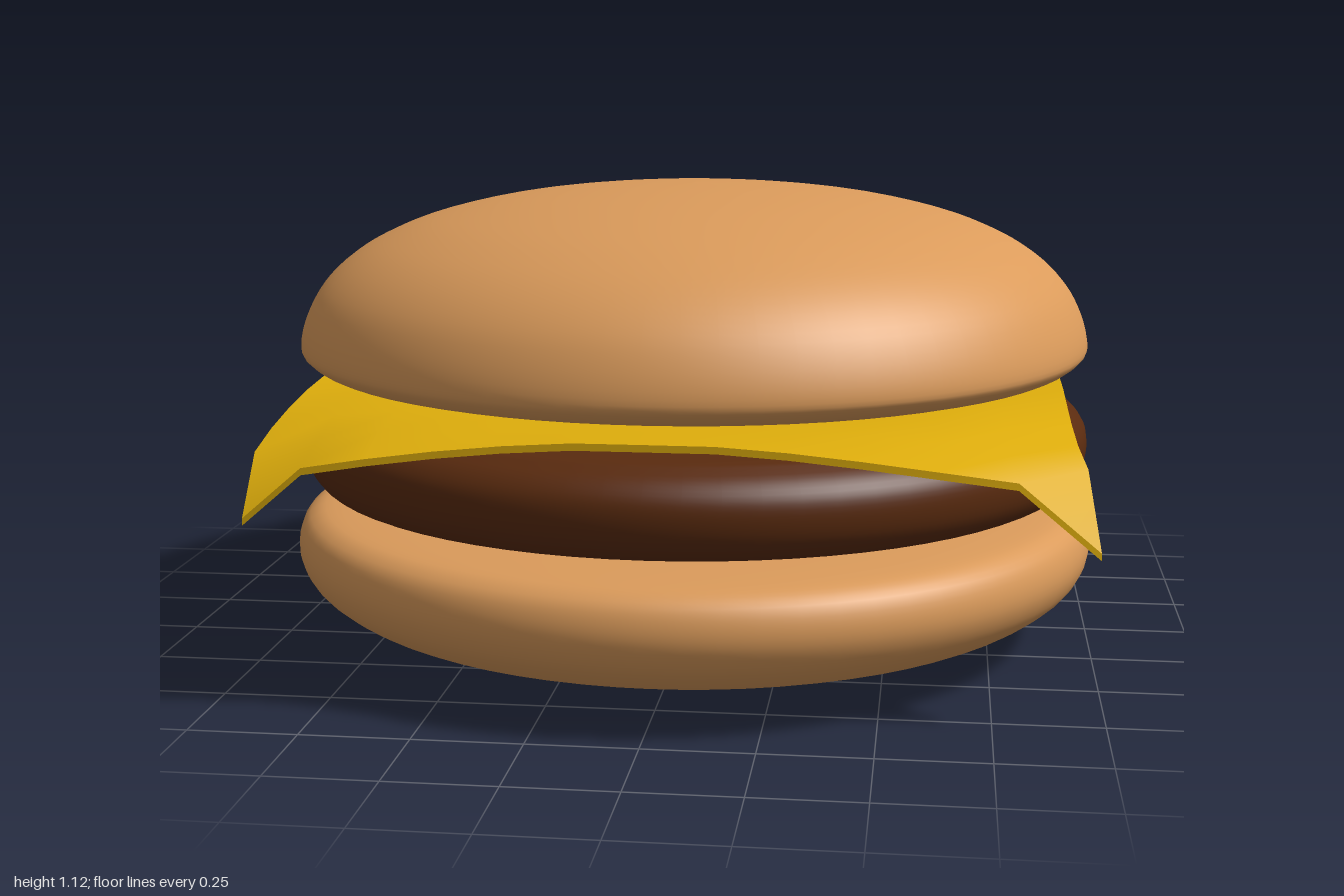
import * as THREE from 'three';

const BUN = 0xdb9b5b, PATTY = 0x5a2b0f, CHEESE = 0xdfae0c;

// Smooth round layer turned from a [radius, y] profile, listed bottom to top
function roundLayer(name, color, profile) {
  const curve = new THREE.SplineCurve(profile.map(([r, y]) => new THREE.Vector2(r, y)));
  const points = curve.getPoints(48);
  points.forEach(p => { p.x = Math.max(0, p.x); });
  const mesh = new THREE.Mesh(
    new THREE.LatheGeometry(points, 72),
    new THREE.MeshStandardMaterial({ color })
  );
  mesh.name = name;
  return mesh;
}

// Thin square slice that sags outside the patty, with four drooping corners
function cheeseSlice() {
  const half = 0.918, top = 0.65, thickness = 0.016, segments = 12;
  // Corner tips [x, y, z], keyed by the signs of x and z
  const tips = {
    '1,1': [0.97, 0.42, 0.83],
    '1,-1': [0.97, 0.45, -0.80],
    '-1,1': [-0.89, 0.46, 0.90],
    '-1,-1': [-0.89, 0.46, -0.88],
  };
  const geometry = new THREE.BoxGeometry(2, thickness, 2, segments, 1, segments);
  const pos = geometry.attributes.position;
  for (let i = 0; i < pos.count; i++) {
    const u = pos.getX(i), v = pos.getZ(i);
    const sx = u < 0 ? -1 : 1, sz = v < 0 ? -1 : 1;
    const [tx, ty, tz] = tips[`${sx},${sz}`];
    // Pull the outline towards the tip, strongest at the corner
    const w = Math.pow(Math.abs(u * v), 4);
    const x = u * half + (tx - sx * half) * w;
    const z = v * half + (tz - sz * half) * w;
    // Gentle sag past the patty rim; only the last vertex folds down sharply
    const r = Math.hypot(u, v) * half;
    const isTip = Math.abs(u) > 0.99 && Math.abs(v) > 0.99;
    const y = isTip ? ty : top - 0.27 * Math.max(0, r - 0.93);
    pos.setXYZ(i, x, y + pos.getY(i) - thickness / 2, z);
  }
  geometry.computeVertexNormals();
  const mesh = new THREE.Mesh(geometry, new THREE.MeshStandardMaterial({ color: CHEESE }));
  mesh.name = 'cheeseSlice';
  return mesh;
}

export function createModel() {
  const group = new THREE.Group();
  group.name = 'burger';

  const bottomBun = roundLayer('bottomBun', BUN, [
    [0, 0.005], [0.3, 0.012], [0.6, 0.035], [0.84, 0.085], [0.95, 0.145], [0.995, 0.21],
    [0.997, 0.275], [0.965, 0.325], [0.88, 0.345], [0.6, 0.355], [0.3, 0.36], [0, 0.36],
  ]);

  const patty = roundLayer('patty', PATTY, [
    [0, 0.37], [0.4, 0.372], [0.75, 0.38], [0.91, 0.395], [0.965, 0.435], [0.982, 0.495],
    [0.97, 0.55], [0.92, 0.59], [0.82, 0.61], [0.4, 0.615], [0, 0.615],
  ]);
  patty.position.x = 0.004;

  const topBun = roundLayer('topBun', BUN, [
    [0, 0.662], [0.4, 0.664], [0.75, 0.674], [0.91, 0.69], [0.968, 0.718], [0.98, 0.75],
    [0.963, 0.815], [0.925, 0.885], [0.86, 0.95], [0.77, 1.005], [0.64, 1.055],
    [0.45, 1.097], [0.22, 1.122], [0, 1.13],
  ]);

  group.add(bottomBun, patty, cheeseSlice(), topBun);
  return group;
}
